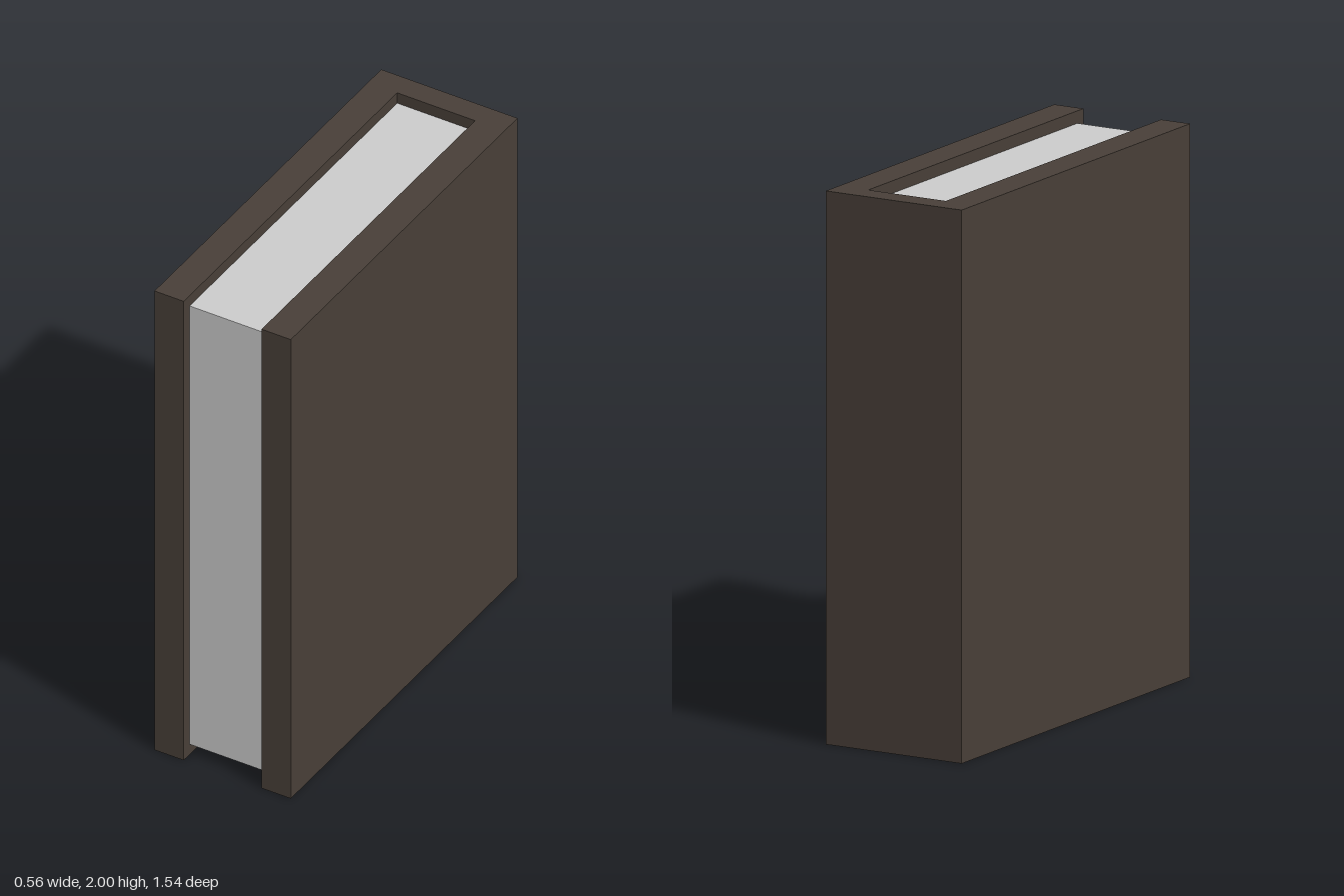
import * as THREE from 'three';

const HEIGHT = 2, HALF_WIDTH = 0.28, HALF_DEPTH = 0.77;
const PAGE_HALF = 0.16, SPINE_INNER = -0.68, PAGE_FRONT = 0.73, PAGE_INSET = 0.045;

export function createModel() {
  const book = new THREE.Group();
  book.name = 'book';
  const coverMaterial = new THREE.MeshStandardMaterial({ color: 0x483f38 });
  const pageMaterial = new THREE.MeshStandardMaterial({ color: 0xcccccc });

  // U-shaped cover: two boards joined by the spine, open at the front.
  // Shape y becomes -z once the extrusion is stood upright.
  const outline = new THREE.Shape([
    [-HALF_WIDTH, -HALF_DEPTH], [-PAGE_HALF, -HALF_DEPTH],
    [-PAGE_HALF, -SPINE_INNER], [PAGE_HALF, -SPINE_INNER],
    [PAGE_HALF, -HALF_DEPTH], [HALF_WIDTH, -HALF_DEPTH],
    [HALF_WIDTH, HALF_DEPTH], [-HALF_WIDTH, HALF_DEPTH],
  ].map(([x, y]) => new THREE.Vector2(x, y)));
  const coverGeometry = new THREE.ExtrudeGeometry(outline, { depth: HEIGHT, bevelEnabled: false });
  coverGeometry.rotateX(-Math.PI / 2);
  const cover = new THREE.Mesh(coverGeometry, coverMaterial);
  cover.name = 'cover';

  // Page block, recessed at the top, bottom and front
  const pages = new THREE.Mesh(
    new THREE.BoxGeometry(PAGE_HALF * 2, HEIGHT - PAGE_INSET * 2, PAGE_FRONT - SPINE_INNER),
    pageMaterial,
  );
  pages.name = 'pages';
  pages.position.set(0, HEIGHT / 2, (PAGE_FRONT + SPINE_INNER) / 2);

  book.add(cover, pages);
  return book;
}
